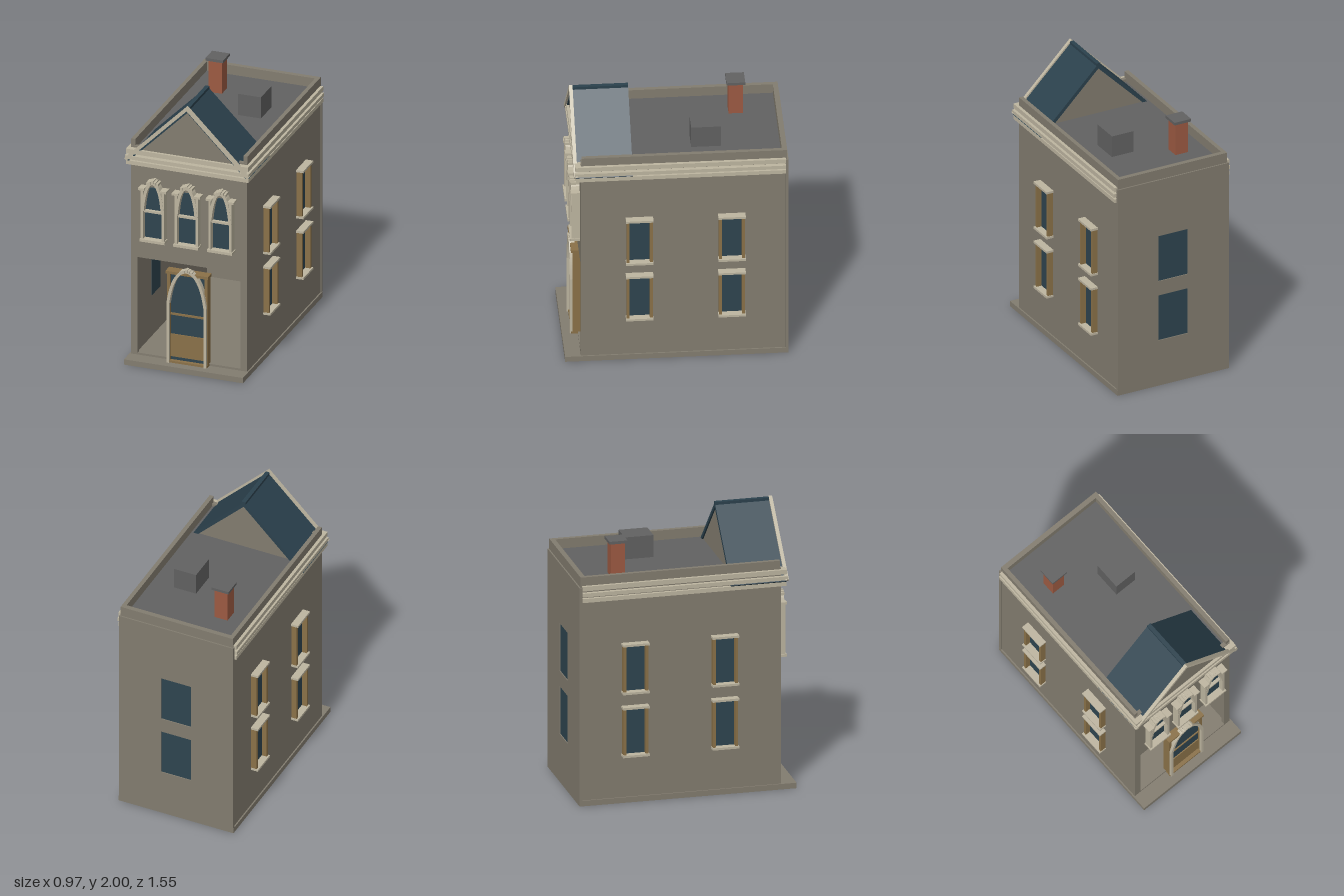
import * as THREE from 'three';

const mat = (name, color) => Object.assign(new THREE.MeshStandardMaterial({ color }), { name });

export function createModel() {
  const wall = mat('stone wall', 0x827c6f);
  const trim = mat('pale trim', 0xbdb5a0);
  const glass = mat('dark glass', 0x2e444f);
  const slate = mat('slate blue', 0x2b414d);
  const wood = mat('wood', 0x8a7148);
  const gray = mat('roof gray', 0x616161);
  const brick = mat('brick', 0x9c5a42);
  const model = new THREE.Group();
  model.name = 'townhouse';

  const group = (name) => {
    const g = new THREE.Group();
    g.name = name;
    model.add(g);
    return g;
  };
  // Box given by its min and max corners
  const box = (parent, name, m, x0, x1, y0, y1, z0, z1) => {
    const mesh = new THREE.Mesh(new THREE.BoxGeometry(x1 - x0, y1 - y0, z1 - z0), m);
    mesh.position.set((x0 + x1) / 2, (y0 + y1) / 2, (z0 + z1) / 2);
    mesh.name = name;
    parent.add(mesh);
    return mesh;
  };
  const poly = (pts) => pts.map(([x, y]) => new THREE.Vector2(x, y));
  const rect = (x0, x1, y0, y1) => poly([[x0, y0], [x1, y0], [x1, y1], [x0, y1]]);
  // Outline in x/y, pushed through from z0 to z1
  const slab = (parent, name, m, outline, holes, z0, z1) => {
    const s = new THREE.Shape(outline);
    holes.forEach((h) => s.holes.push(new THREE.Path(h)));
    const mesh = new THREE.Mesh(new THREE.ExtrudeGeometry(s, { depth: z1 - z0, bevelEnabled: false }), m);
    mesh.position.z = z0;
    mesh.name = name;
    parent.add(mesh);
  };

  // Hollow shell: base, walls, roof and parapet
  const shell = group('shell');
  const floors = [[0.35, 0.7], [0.81, 1.16]];
  box(shell, 'base', wall, -0.44, 0.44, 0, 0.04, -0.775, 0.775);
  slab(shell, 'frontWall', wall, rect(-0.43, 0.43, 0.04, 1.62), [rect(-0.38, 0.38, 0.055, 0.78)], 0.635, 0.665);
  for (const s of [-1, 1]) {
    const [a, b] = s > 0 ? [0.4, 0.43] : [-0.43, -0.4];
    box(shell, 'sideWall', wall, a, b, 0.04, 1.67, -0.76, 0.66);
  }
  box(shell, 'backWall', wall, -0.43, 0.43, 0.04, 1.67, -0.765, -0.73);
  slab(shell, 'backFacing', wall, rect(-0.438, 0.438, 0.04, 1.595),
    floors.map(([y0, y1]) => rect(-0.115, 0.115, y0, y1)), -0.775, -0.755);
  floors.forEach(([y0, y1]) => box(shell, 'backWindow', glass, -0.115, 0.115, y0, y1, -0.768, -0.727));
  box(shell, 'flatRoof', gray, -0.4, 0.4, 1.57, 1.6, -0.73, 0.64);

  // Side windows with wood jambs and pale caps
  for (const s of [-1, 1]) {
    for (const z of [0.26, -0.38]) {
      for (const [y0, y1] of floors) {
        const g = group('sideWindow');
        const sb = (name, m, x0, x1, ...r) => box(g, name, m, Math.min(s * x0, s * x1), Math.max(s * x0, s * x1), ...r);
        sb('pane', glass, 0.397, 0.434, y0, y1, z - 0.08, z + 0.08);
        for (const k of [-1, 1]) sb('jamb', wood, 0.43, 0.472, y0, y1, z + k * 0.08 - 0.01, z + k * 0.08 + 0.01);
        sb('sill', trim, 0.43, 0.485, y0 - 0.008, y0 + 0.008, z - 0.095, z + 0.095);
        sb('cap', trim, 0.43, 0.485, y1 - 0.008, y1 + 0.008, z - 0.095, z + 0.095);
      }
    }
  }

  // Pointed arch made of small overlapping blocks
  const arch = (parent, cx, a, y0, h, w, z0, z1, n) => {
    const curve = new THREE.QuadraticBezierCurve(
      new THREE.Vector2(a, y0), new THREE.Vector2(a * 0.75, y0 + h * 0.95), new THREE.Vector2(0, y0 + h));
    const pts = curve.getSpacedPoints(n);
    for (const s of [-1, 1]) {
      for (let i = 0; i < n; i++) {
        const p = pts[i], q = pts[i + 1];
        const len = p.distanceTo(q) * 1.25;
        const b = box(parent, 'archBlock', trim, -len / 2, len / 2, -w / 2, w / 2, z0, z1);
        b.position.set(cx + s * (p.x + q.x) / 2, (p.y + q.y) / 2, (z0 + z1) / 2);
        b.rotation.z = s * Math.atan2(q.y - p.y, q.x - p.x);
      }
    }
    // Stepped crest over the crown
    for (let i = -2; i <= 2; i++) {
      const y = y0 + h + 0.006 - Math.abs(i) * 0.007;
      box(parent, 'crestBlock', trim, cx + i * 0.018 - 0.008, cx + i * 0.018 + 0.008, y - 0.01, y + 0.009, z0, z1 + 0.004);
    }
  };

  // Three arched front windows
  for (const cx of [-0.25, 0, 0.25]) {
    const g = group('frontWindow');
    box(g, 'pane', glass, cx - 0.075, cx + 0.075, 0.95, 1.325, 0.66, 0.682);
    box(g, 'sill', trim, cx - 0.092, cx + 0.092, 0.933, 0.952, 0.66, 0.732);
    box(g, 'meetingRail', trim, cx - 0.075, cx + 0.075, 1.148, 1.164, 0.66, 0.705);
    for (const s of [-1, 1]) {
      const jx = cx + s * 0.077;
      box(g, 'jamb', trim, jx - 0.009, jx + 0.009, 0.95, 1.325, 0.66, 0.722);
      box(g, 'jambCap', trim, jx + s * 0.004 - 0.023, jx + s * 0.004 + 0.023, 1.32, 1.336, 0.66, 0.73);
    }
    arch(g, cx, 0.073, 1.17, 0.215, 0.021, 0.66, 0.724, 9);
  }

  // Doorway standing in the open front
  const door = group('door');
  box(door, 'doorGlass', glass, -0.13, 0.13, 0.055, 0.715, 0.64, 0.682);
  box(door, 'doorPanel', wood, -0.13, 0.13, 0.08, 0.25, 0.635, 0.69);
  box(door, 'doorRail', wood, -0.13, 0.13, 0.395, 0.41, 0.64, 0.69);
  box(door, 'threshold', wood, -0.15, 0.15, 0.04, 0.055, 0.64, 0.71);
  box(door, 'header', wood, -0.157, 0.157, 0.712, 0.732, 0.64, 0.712);
  for (const s of [-1, 1]) {
    box(door, 'woodJamb', wood, s * 0.138 - 0.011, s * 0.138 + 0.011, 0.055, 0.715, 0.64, 0.7);
    box(door, 'paleJamb', trim, s * 0.137 - 0.009, s * 0.137 + 0.009, 0.04, 0.5, 0.68, 0.72);
  }
  arch(door, 0, 0.137, 0.49, 0.26, 0.021, 0.68, 0.72, 12);

  // Cornice bands along the front and both sides
  const cornice = group('cornice');
  for (const [y0, y1, x, z] of [[1.49, 1.519, 0.452, 0.7], [1.533, 1.56, 0.458, 0.71], [1.575, 1.608, 0.452, 0.705]]) {
    box(cornice, 'frontBand', trim, -x, x, y0, y1, 0.66, z);
    box(cornice, 'leftBand', trim, 0.43, x, y0, y1, -0.755, 0.66);
    box(cornice, 'rightBand', trim, -x, -0.43, y0, y1, -0.755, 0.66);
  }

  // Front gable with roof planes and raking trim
  const gable = group('gable');
  const chevron = (c, e, t) => poly([[-e, c - e], [-e + t / 2, c - e - t / 2], [0, c - t],
    [e - t / 2, c - e - t / 2], [e, c - e], [0, c]]);
  slab(gable, 'gableWall', wall, poly([[-0.36, 1.6], [0.36, 1.6], [0, 1.96]]), [], 0.315, 0.685);
  slab(gable, 'gableRoof', slate, chevron(1.985, 0.458, 0.036), [], 0.305, 0.7);
  slab(gable, 'rakingTrim', trim, chevron(2, 0.462, 0.033), [], 0.69, 0.715);
  box(gable, 'ridgeCap', slate, -0.015, 0.015, 1.965, 1.99, 0.305, 0.69);

  // Chimney and roof vent
  const chimney = group('chimney');
  box(chimney, 'chimneyStack', brick, -0.265, -0.165, 1.6, 1.84, -0.505, -0.405);
  box(chimney, 'chimneyCap', gray, -0.28, -0.15, 1.84, 1.86, -0.52, -0.39);
  box(model, 'roofVent', gray, 0.065, 0.235, 1.6, 1.76, -0.32, -0.115);

  return model;
}
